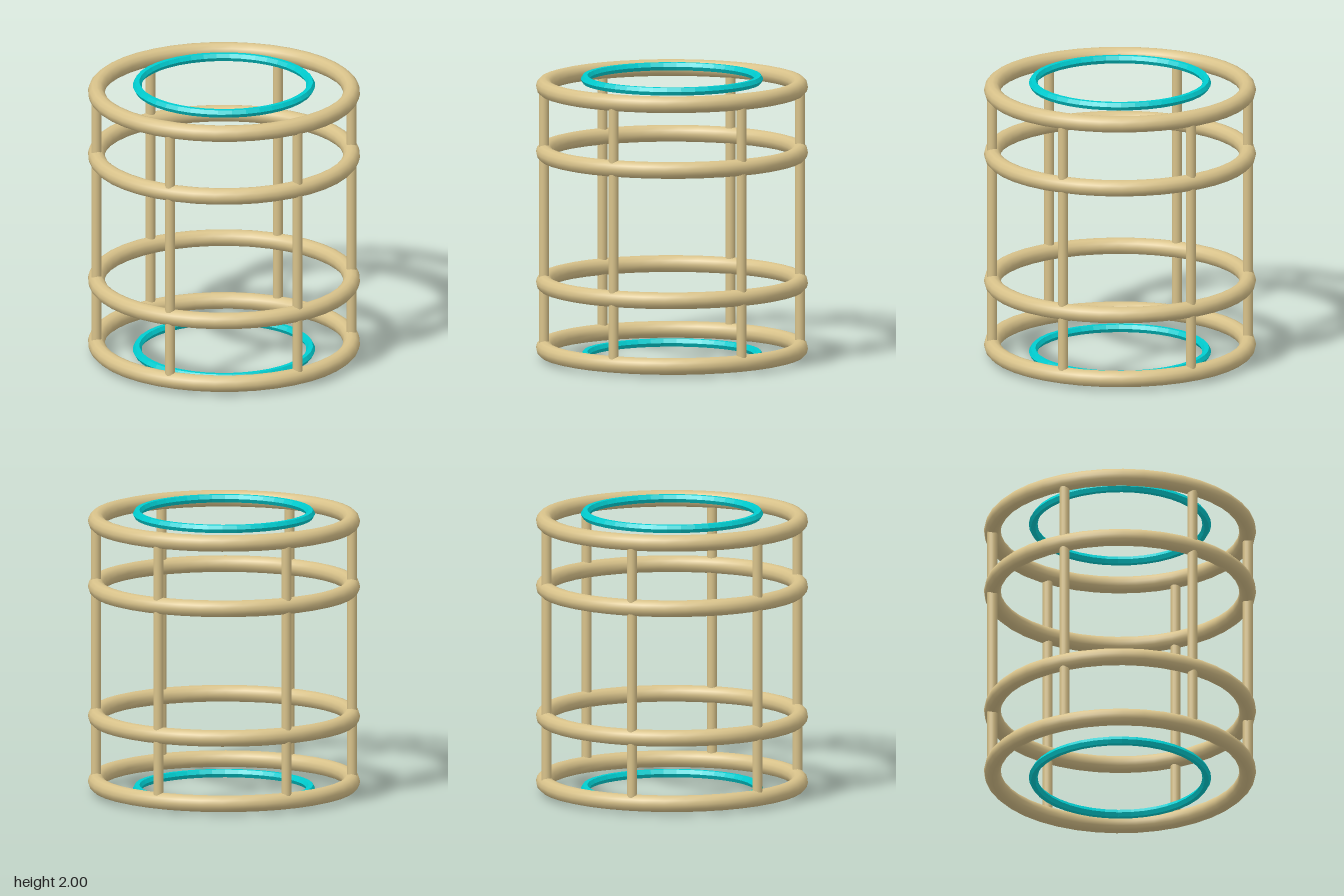
import * as THREE from 'three';

export function createModel() {
  const model = new THREE.Group();
  const tan = new THREE.MeshStandardMaterial({ color: 0xd8c28a });
  const turquoise = new THREE.MeshStandardMaterial({ color: 0x00ced1 });
  tan.name = 'tan';
  turquoise.name = 'turquoise';

  const add = (name, geometry, material, x, y, z) => {
    const mesh = new THREE.Mesh(geometry, material);
    mesh.name = name;
    mesh.position.set(x, y, z);
    model.add(mesh);
  };

  // Four large smooth hoops
  const hoop = new THREE.TorusGeometry(0.89, 0.059, 12, 40).rotateX(Math.PI / 2);
  [0.078, 0.541, 1.459, 1.922].forEach((y, i) => add(`hoop${i + 1}`, hoop, tan, 0, y, 0));

  // Six upright posts joining the hoops
  const post = new THREE.CylinderGeometry(0.035, 0.035, 1.844, 16);
  for (let i = 0; i < 6; i++) {
    const a = (i * Math.PI) / 3;
    add(`post${i + 1}`, post, tan, 0.893 * Math.cos(a), 1, 0.893 * Math.sin(a));
  }

  // Small faceted rings at both ends, with a hexagonal section
  const ring = new THREE.TorusGeometry(0.605, 0.031, 6, 40).rotateX(Math.PI / 2).toNonIndexed();
  ring.computeVertexNormals();
  const lift = 0.031 * Math.sin(Math.PI / 3);
  add('bottomRing', ring, turquoise, 0, lift, 0);
  add('topRing', ring, turquoise, 0, 2 - lift, 0);

  return model;
}
